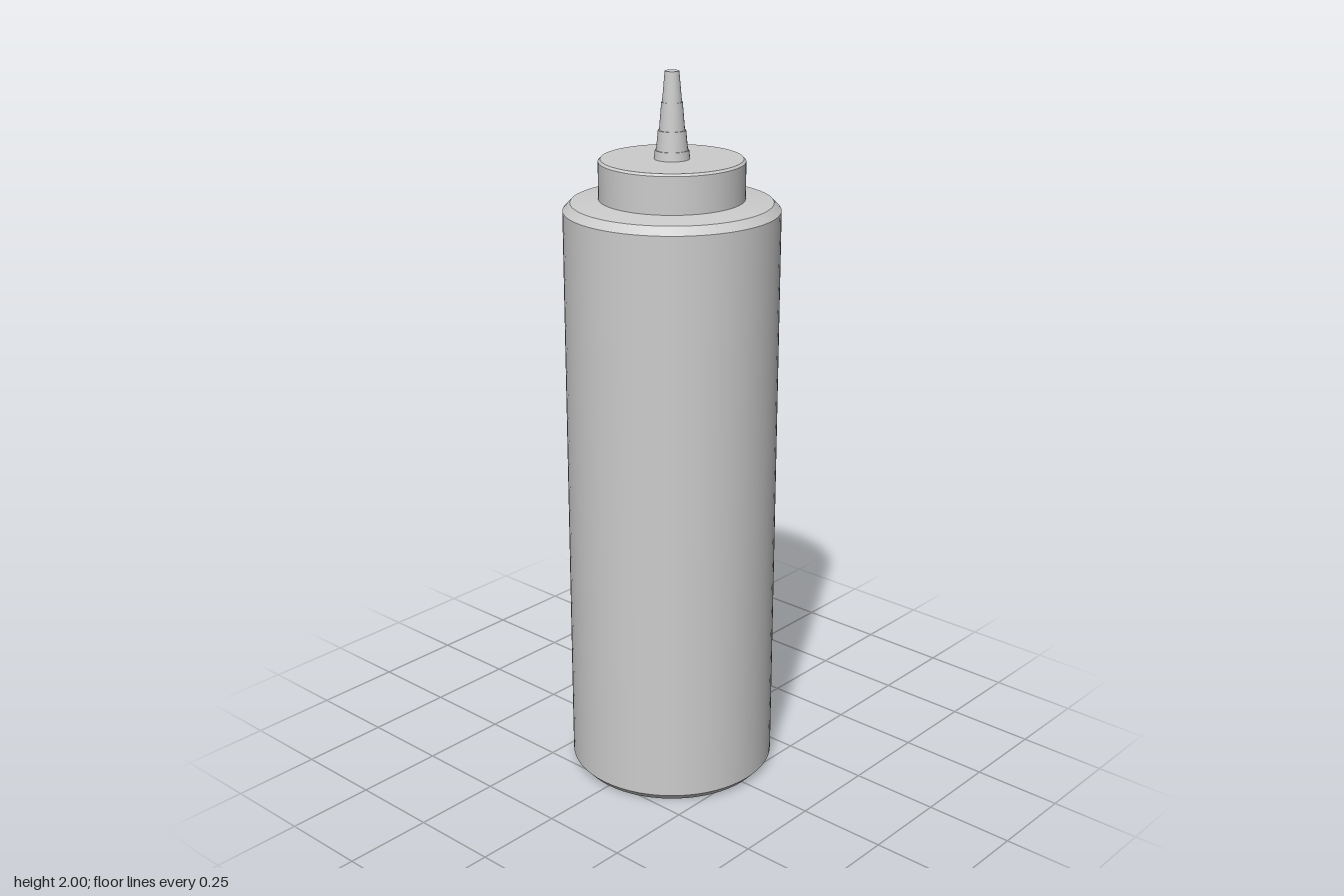
import * as THREE from 'three';
import { mergeGeometries } from 'three/addons/utils/BufferGeometryUtils.js';

// Revolve a [radius, height] profile (bottom to top), keeping every ring edge crisp
function turned(name, profile, sides, material) {
  const bands = [];
  for (let i = 0; i < profile.length - 1; i++) {
    const pair = [profile[i], profile[i + 1]].map(([r, y]) => new THREE.Vector2(r, y));
    bands.push(new THREE.LatheGeometry(pair, sides));
  }
  const mesh = new THREE.Mesh(mergeGeometries(bands), material);
  mesh.name = name;
  return mesh;
}

export function createModel() {
  const group = new THREE.Group();
  group.name = 'squeezeBottle';
  const plastic = new THREE.MeshStandardMaterial({ color: 0xcccccc });
  plastic.name = 'light grey plastic';

  // Tall cylinder with chamfered foot and gently sloped shoulder
  group.add(turned('bottleBody', [
    [0, 0], [0.27, 0], [0.29, 0.022], [0.29, 1.636], [0.27, 1.657], [0.19, 1.667], [0, 1.667],
  ], 64, plastic));

  // Screw cap with a fine bevel on the top rim
  group.add(turned('cap', [
    [0, 1.66], [0.195, 1.66], [0.195, 1.766], [0.189, 1.772], [0, 1.772],
  ], 64, plastic));

  // Tapered nozzle, stepped in at each ring
  group.add(turned('nozzle', [
    [0.048, 1.77], [0.045, 1.795], [0.042, 1.795], [0.037, 1.847], [0.034, 1.847],
    [0.028, 1.92], [0.026, 1.92], [0.019, 2], [0, 2],
  ], 24, plastic));

  return group;
}
